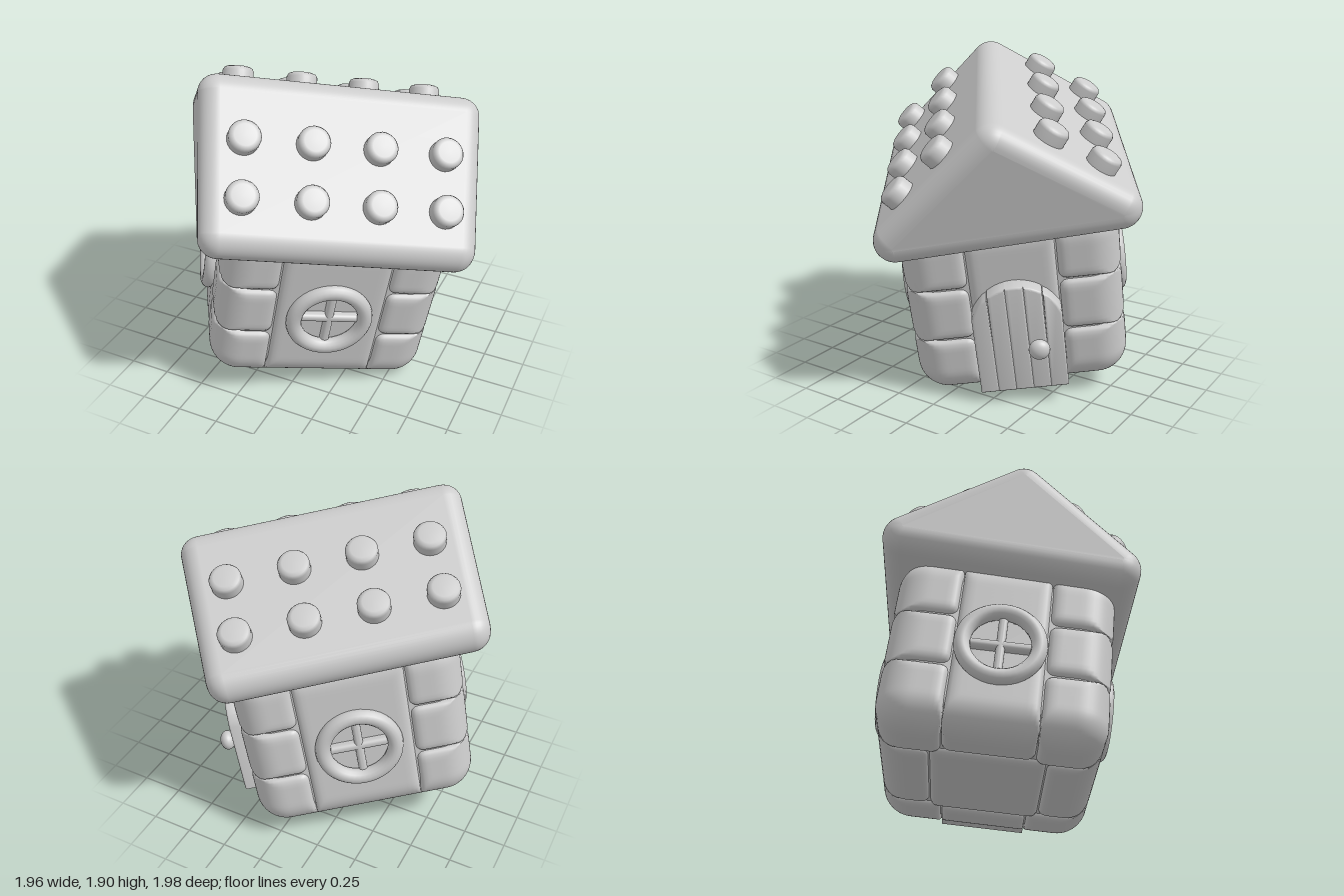
import * as THREE from 'three';
import { mergeVertices, toCreasedNormals } from 'three/addons/utils/BufferGeometryUtils.js';
import { RoundedBoxGeometry } from 'three/addons/geometries/RoundedBoxGeometry.js';

const clay = new THREE.MeshStandardMaterial({ color: 0xcccccc });
clay.name = 'grey clay';

// Wall block: half size, centre, rounding of its outer corners
const bodyHalf = new THREE.Vector3(0.65, 0.5525, 0.615);
const bodyCentre = new THREE.Vector3(0, -0.5275, 0);
const windowY = -0.56;

function add(parent, name, geometry, x = 0, y = 0, z = 0) {
  const mesh = new THREE.Mesh(geometry, clay);
  mesh.name = name;
  mesh.position.set(x, y, z);
  parent.add(mesh);
  return mesh;
}

// Weld a geometry and give it fully smooth normals
function smooth(geometry) {
  geometry.deleteAttribute('normal');
  geometry.deleteAttribute('uv');
  const welded = mergeVertices(geometry, 1e-4);
  welded.computeVertexNormals();
  return welded;
}

// Pull a point inside a box whose edges have radius r
function soften(p, centre, half, r) {
  const core = half.clone().subScalar(r);
  const q = p.clone().sub(centre);
  const inner = q.clone().clamp(core.clone().negate(), core);
  const offset = q.sub(inner).clampLength(0, r);
  p.copy(centre).add(inner).add(offset);
}

// Pillow-edged block between two corners, also rounded to the whole wall block;
// dentAxis sinks a round window pane into its outer face
function blockGeometry(min, max, dentAxis) {
  const lo = new THREE.Vector3(...min), hi = new THREE.Vector3(...max);
  const centre = lo.clone().add(hi).multiplyScalar(0.5);
  const half = hi.clone().sub(lo).multiplyScalar(0.5);
  const segments = half.toArray().map((h) => Math.ceil(h * 2 / 0.027));
  const geometry = new THREE.BoxGeometry(half.x * 2, half.y * 2, half.z * 2, ...segments);
  geometry.translate(centre.x, centre.y, centre.z);
  const position = geometry.attributes.position;
  const p = new THREE.Vector3();
  for (let i = 0; i < position.count; i++) {
    p.fromBufferAttribute(position, i);
    soften(p, centre, half, 0.05);
    soften(p, bodyCentre, bodyHalf, 0.18);
    if (dentAxis) {
      const side = Math.sign(centre[dentAxis]);
      const across = dentAxis === 'z' ? p.x : p.z;
      const outer = (p[dentAxis] - centre[dentAxis]) * side > 0;
      if (outer && Math.hypot(across, p.y - windowY) < 0.19) p[dentAxis] -= side * 0.05;
    }
    position.setXYZ(i, p.x, p.y, p.z);
  }
  return smooth(geometry);
}

// Gable prism with soft edges: three corner arcs, rounded by the bevel, longer at the ridge
function roofGeometry(halfLength, halfWidth, height, radius) {
  const lean = Math.PI / 2 - Math.atan2(height, halfWidth);
  const bevel = radius - 0.01;
  const shape = new THREE.Shape();
  shape.absarc(halfWidth, 0, 0.01, -Math.PI / 2, lean, false);
  shape.absarc(0, height, 0.01, lean, Math.PI - lean, false);
  shape.absarc(-halfWidth, 0, 0.01, Math.PI - lean, Math.PI * 1.5, false);
  const geometry = new THREE.ExtrudeGeometry(shape, {
    depth: halfLength * 2, bevelSize: bevel, bevelThickness: bevel, bevelSegments: 8, curveSegments: 8,
  });
  geometry.translate(0, 0, -halfLength);
  geometry.rotateY(Math.PI / 2);
  const position = geometry.attributes.position;
  for (let i = 0; i < position.count; i++) {
    position.setX(i, position.getX(i) * (1 + 0.1 * Math.max(0, position.getY(i))));
  }
  return smooth(geometry);
}

// Round window: ring and crossed glazing bars, facing +z
function addWindow(parent) {
  add(parent, 'windowRing', new THREE.TorusGeometry(0.207, 0.045, 14, 40), 0, windowY, 0.01);
  add(parent, 'windowBarAcross', new RoundedBoxGeometry(0.38, 0.05, 0.07, 4, 0.022), 0, windowY, -0.02);
  add(parent, 'windowBarUp', new RoundedBoxGeometry(0.05, 0.38, 0.07, 4, 0.022), 0, windowY, -0.02);
}

// Arched door of upright planks with a knob, facing +z
function addDoor(parent) {
  const half = 0.25, count = 5, step = (half * 2) / count, bevel = 0.012;
  const door = new THREE.Group();
  door.name = 'door';
  parent.add(door);
  const arch = (x) => -0.59 + Math.sqrt(Math.max(0, half * half - x * x));
  for (let i = 0; i < count; i++) {
    const a = -half + i * step + bevel * 0.9;
    const b = -half + (i + 1) * step - bevel * 0.9;
    const shape = new THREE.Shape();
    shape.moveTo(a, -0.995);
    shape.lineTo(b, -0.995);
    for (let k = 0; k <= 8; k++) {
      const x = b + ((a - b) * k) / 8;
      shape.lineTo(x, arch(x) - bevel);
    }
    shape.closePath();
    const geometry = new THREE.ExtrudeGeometry(shape, {
      depth: 0.13, bevelSize: bevel, bevelThickness: bevel, bevelSegments: 3,
    });
    add(door, 'doorPlank', toCreasedNormals(geometry, 0.8), 0, 0, -0.05);
  }
  const stem = add(door, 'doorKnobStem', new THREE.CylinderGeometry(0.035, 0.035, 0.06, 20), 0.105, -0.715, 0.11);
  stem.rotation.x = Math.PI / 2;
  const knob = add(door, 'doorKnob', new THREE.SphereGeometry(0.06, 24, 16), 0.105, -0.715, 0.14);
  knob.scale.z = 0.75;
}

export function createModel() {
  const model = new THREE.Group();
  model.name = 'toyHouse';
  const house = new THREE.Group();
  house.name = 'tiltedHouse';
  model.add(house);

  // Roof
  const roofWidth = 0.61, roofHeight = 0.48, roofRadius = 0.12, roofBase = 0.012;
  add(house, 'roof', roofGeometry(0.66, roofWidth, roofHeight, roofRadius), 0, roofBase, 0);

  // Roof studs: two rows of four on each slope
  const studProfile = [[0.09, -0.04], [0.09, 0.06], [0.08, 0.078], [0.06, 0.086], [0, 0.086]]
    .map(([r, y]) => new THREE.Vector2(r, y));
  const studGeometry = new THREE.LatheGeometry(studProfile, 28);
  const pitch = Math.atan2(roofHeight, roofWidth);
  for (const side of [1, -1]) {
    for (const across of [0.285, 0.54]) {
      for (let i = 0; i < 4; i++) {
        const y = roofBase + roofHeight + roofRadius / Math.cos(pitch) - across * Math.tan(pitch);
        const stud = add(house, 'roofStud', studGeometry, (i - 1.5) * 0.375, y, side * across);
        stud.rotation.x = side * pitch;
      }
    }
  }

  // Walls, leaning slightly under the roof: inner block, corner stones, wall and floor panels
  const walls = new THREE.Group();
  walls.name = 'walls';
  walls.position.set(0.03, 0, 0.005);
  walls.rotation.set(-0.05, 0, 0.025);
  house.add(walls);
  const { x: hx, z: hz } = bodyHalf;
  const px = 0.315, pz = 0.25, deep = 0.3;
  const bottom = bodyCentre.y - bodyHalf.y, top = bodyCentre.y + bodyHalf.y;
  add(walls, 'innerWalls', new RoundedBoxGeometry(1.24, 1.03, 1.17, 6, 0.16), 0, -0.535, 0);
  const rows = [bottom, -0.7, -0.38, top];
  for (const sx of [1, -1]) {
    for (const sz of [1, -1]) {
      for (let r = 0; r < 3; r++) {
        const min = [sx > 0 ? px : -hx, rows[r], sz > 0 ? pz : -hz];
        const max = [sx > 0 ? hx : -px, rows[r + 1], sz > 0 ? hz : -pz];
        add(walls, 'cornerStone', blockGeometry(min, max));
      }
    }
  }
  add(walls, 'frontPanel', blockGeometry([-px, bottom, hz - deep], [px, top, hz], 'z'));
  add(walls, 'backPanel', blockGeometry([-px, bottom, -hz], [px, top, deep - hz], 'z'));
  add(walls, 'sidePanel', blockGeometry([-hx, bottom, -pz], [deep - hx, top, pz], 'x'));
  add(walls, 'doorPanel', blockGeometry([hx - deep, bottom, -pz], [hx, top, pz]));
  add(walls, 'floorPanel', blockGeometry([deep - hx, bottom, deep - hz], [hx - deep, -0.8, hz - deep]));

  // Fittings on the four wall faces: door on the right end, windows on the others
  const fittings = [
    { name: 'frontWindow', turn: 0, out: hz, build: addWindow },
    { name: 'doorway', turn: Math.PI / 2, out: hx, build: addDoor },
    { name: 'backWindow', turn: Math.PI, out: hz, build: addWindow },
    { name: 'sideWindow', turn: -Math.PI / 2, out: hx, build: addWindow },
  ];
  for (const { name, turn, out, build } of fittings) {
    const fitting = new THREE.Group();
    fitting.name = name;
    fitting.rotation.y = turn;
    fitting.position.set(Math.sin(turn) * out, 0, Math.cos(turn) * out);
    build(fitting);
    walls.add(fitting);
  }

  // Tilt the whole house: ridge axis, upright axis, front axis
  const ridge = new THREE.Vector3(0.82, -0.17, -0.546).normalize();
  const up = new THREE.Vector3(0.534, -0.16, 0.83).cross(ridge).normalize();
  const front = new THREE.Vector3().crossVectors(ridge, up);
  house.quaternion.setFromRotationMatrix(new THREE.Matrix4().makeBasis(ridge, up, front));
  house.position.set(-0.01, 1.185, 0);

  // Stand on the ground
  model.updateMatrixWorld(true);
  house.position.y -= new THREE.Box3().setFromObject(model, true).min.y;
  return model;
}
